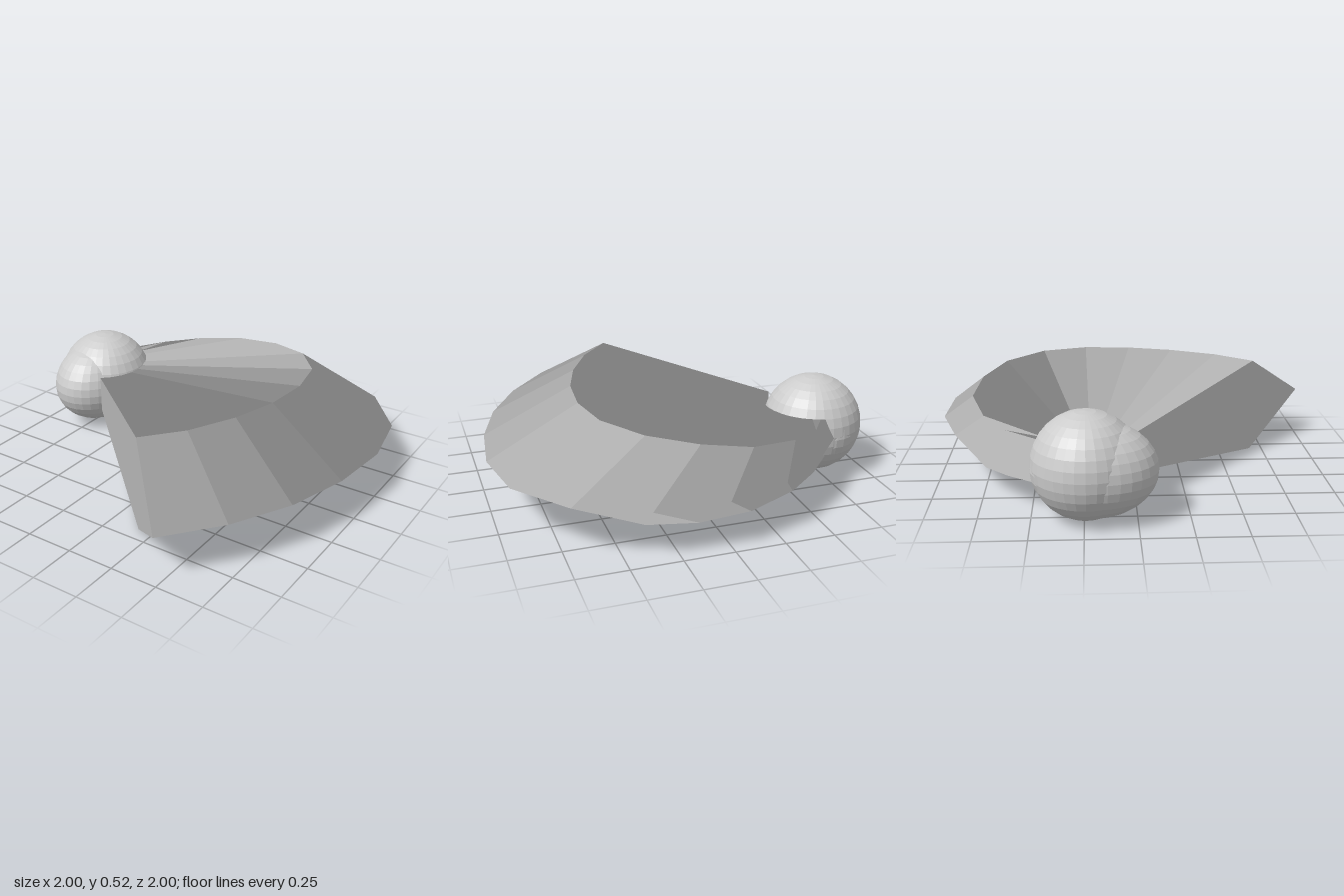
import * as THREE from 'three';

const MID = 0.265;
const CX = -0.74, CZ = -0.24;

const material = (options = {}) => new THREE.MeshStandardMaterial({ color: 0xcccccc, ...options });

function ellipsoid(name, x, y, z, rx, ry, rz) {
  const mesh = new THREE.Mesh(new THREE.SphereGeometry(1, 32, 16), material({ flatShading: true }));
  mesh.name = name;
  mesh.scale.set(rx, ry, rz);
  mesh.position.set(x, y, z);
  return mesh;
}

// Fan: wedge sections swept around the ball, from the front edge to the back
function fan() {
  // outer rim x, z, then ridge x, z and ridge half height
  const rows = [
    [0.49, 1.0, 0.17, 0.68, 0.255],
    [0.71, 0.73, 0.33, 0.49, 0.255],
    [0.87, 0.43, 0.45, 0.25, 0.255],
    [0.965, 0.11, 0.52, 0.01, 0.255],
    [1.0, -0.23, 0.54, -0.24, 0.255],
    [0.94, -0.56, 0.49, -0.48, 0.248],
    [0.72, -0.84, 0.33, -0.68, 0.23],
    [0.39, -0.99, 0.1, -0.79, 0.2],
    [0.03, -1.0, -0.15, -0.82, 0.165],
    [-0.29, -0.9, -0.4, -0.74, 0.135],
    [-0.53, -0.73, -0.57, -0.62, 0.115],
    [-0.74, -0.5, -0.71, -0.46, 0.1],
  ];
  const last = rows.length - 1;
  const sections = rows.map(([x, z, rx, rz, h], i) => {
    const t = i / last;
    const angle = THREE.MathUtils.degToRad(58 - 148 * t);
    const r = 0.28 - 0.08 * t;
    const hx = CX + r * Math.cos(angle), hz = CZ + r * Math.sin(angle);
    return [
      [hx, MID + 0.1, hz], [rx, MID + h, rz], [x, MID, z],
      [rx, MID - h, rz], [hx, MID - 0.1, hz],
    ];
  });

  const positions = [], normals = [];
  const tri = (normal, ...corners) => corners.forEach((p) => {
    positions.push(...p);
    normals.push(...normal);
  });

  // Each wedge is shaded as one facet that faces straight out from the rim
  for (let i = 0; i < last; i++) {
    const s = sections[i], n = sections[i + 1];
    const dx = n[2][0] - s[2][0], dz = n[2][2] - s[2][2];
    const length = Math.hypot(dx, dz);
    const outward = [-dz / length, 0, dx / length];
    for (let j = 0; j < 4; j++) {
      tri(outward, s[j], s[j + 1], n[j + 1]);
      tri(outward, s[j], n[j + 1], n[j]);
    }
  }

  // End faces
  const first = sections[0], end = sections[last];
  for (let j = 1; j < 4; j++) {
    tri([0.68, 0, 0.73], first[0], first[j + 1], first[j]);
    tri([-0.74, 0, -0.67], end[0], end[j], end[j + 1]);
  }

  const geometry = new THREE.BufferGeometry();
  geometry.setAttribute('position', new THREE.Float32BufferAttribute(positions, 3));
  geometry.setAttribute('normal', new THREE.Float32BufferAttribute(normals, 3));
  const mesh = new THREE.Mesh(geometry, material({ side: THREE.DoubleSide }));
  mesh.name = 'fan';
  return mesh;
}

export function createModel() {
  const group = new THREE.Group();
  group.name = 'ballWithFan';
  group.add(
    ellipsoid('ball', CX, MID, CZ, 0.26, 0.26, 0.26),
    ellipsoid('frontBump', -0.76, 0.25, -0.2, 0.225, 0.23, 0.3),
    fan(),
  );
  return group;
}
